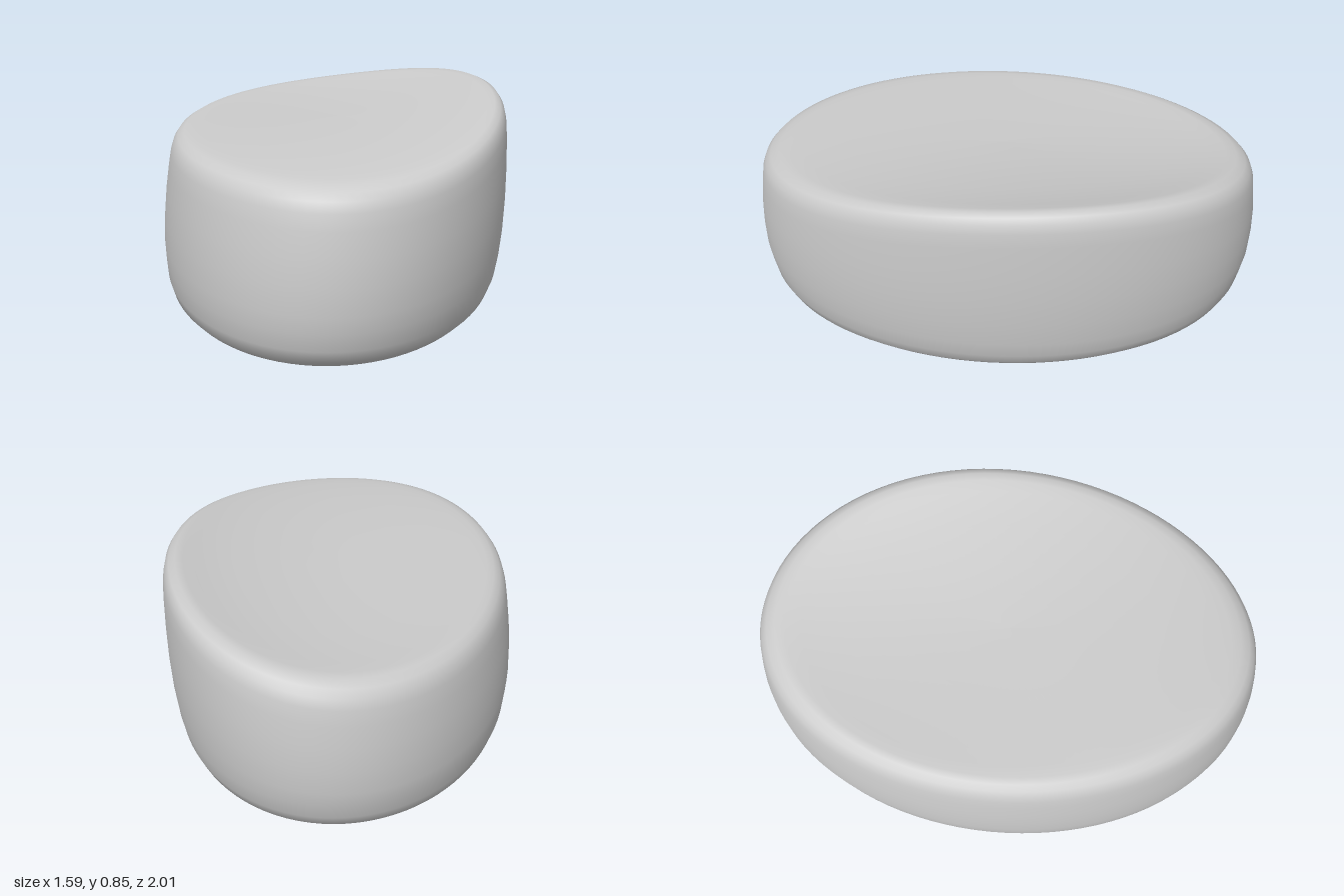
import * as THREE from 'three';

// Height of the twisted, sloping top and of the tilted flat base
const topHeight = (x, z) =>
  0.755 + 0.055 * x - 0.105 * (z - 0.3 * z ** 3) - 0.1 * x * z;
const baseHeight = (x, z) => 0.045 - 0.02 * x - 0.048 * z;

// Rings from top centre to base centre: [radius, blend base-to-top, height offset]
const RINGS = [
  [0, 1, 0], [0.2, 1, 0], [0.4, 1, 0], [0.6, 1, 0], [0.72, 1, 0], [0.8, 1, 0],
  [0.86, 1, 0], [0.9, 1, -0.004], [0.935, 1, -0.018], [0.958, 1, -0.043],
  [0.972, 1, -0.08], [0.982, 1, -0.14], [0.994, 0.65, 0], [1, 0.5, 0], [0.999, 0.35, 0],
  [0.99, 0, 0.17], [0.977, 0, 0.1], [0.953, 0, 0.05], [0.915, 0, 0.018],
  [0.87, 0, 0.004], [0.8, 0, 0], [0.4, 0, 0], [0, 0, 0],
];
const LEAN = 0.035;

function puckGeometry(segments = 96) {
  const positions = [], index = [];
  RINGS.forEach(([r, blend, offset], row) => {
    for (let i = 0; i < segments; i++) {
      // Skewed oval outline
      const angle = (i / segments) * Math.PI * 2;
      const z = r * Math.sin(angle);
      const x = 0.758 * r * Math.cos(angle) + 0.24 * z;
      // Dish in the top, deeper towards the back
      const dish = (0.03 - 0.065 * z) * Math.max(0, 1 - (r / 0.9) ** 2);
      const y = THREE.MathUtils.lerp(baseHeight(x, z), topHeight(x, z) - dish, blend) + offset;
      // The walls lean slightly to the back and +x
      const shift = LEAN * (y - 0.4);
      positions.push(x + shift, y, z - shift);
      // Quads between rings, single triangles at the two centres
      const a = row * segments + i, b = row * segments + (i + 1) % segments;
      if (row > 0 && row < RINGS.length - 1) index.push(a, b, a + segments);
      if (row < RINGS.length - 2) index.push(b, b + segments, a + segments);
    }
  });
  const geometry = new THREE.BufferGeometry();
  geometry.setAttribute('position', new THREE.Float32BufferAttribute(positions, 3));
  geometry.setIndex(index);
  geometry.computeVertexNormals();
  return geometry;
}

export function createModel() {
  const group = new THREE.Group();
  group.name = 'ovalPuck';
  const body = new THREE.Mesh(puckGeometry(), new THREE.MeshStandardMaterial({ color: 0xcccccc }));
  body.name = 'body';
  group.add(body);
  return group;
}
